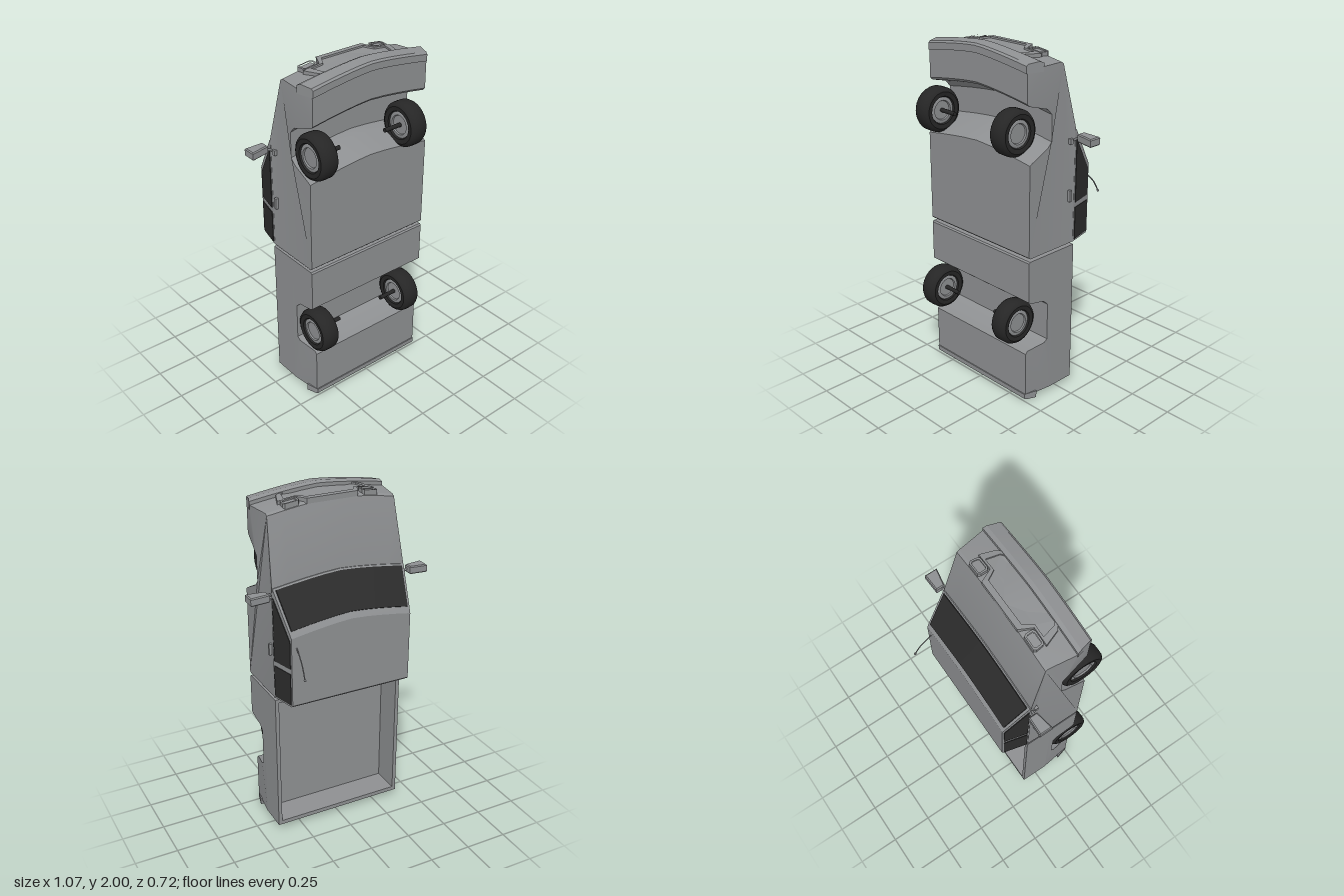
import * as THREE from 'three';
import { toCreasedNormals } from 'three/addons/utils/BufferGeometryUtils.js';

const bodyGrey = new THREE.MeshStandardMaterial({ color: 0x8e9092 });
bodyGrey.name = 'bodyGrey';
const glassBlack = new THREE.MeshStandardMaterial({ color: 0x2c2c2c });
glassBlack.name = 'glassBlack';
const tyreBlack = new THREE.MeshStandardMaterial({ color: 0x262626 });
tyreBlack.name = 'tyreBlack';

// Pickup standing on its tail: nose +y, underside +z, roof -z.
const clamp = THREE.MathUtils.clamp;

// Half width of the body at a point of the side profile
function bodyWidth(z, y) {
  let w = 0.4 - (clamp(-0.095 - z, 0, 0.15) / 0.15) * 0.037;
  if ((y > 1.72 || y < 0.33) && z > 0.2) w = 0.378;
  if (y > 1.85 && z < 0.1) w = 0.378;
  return w;
}

// The cab bows toward the nose along the centre line
function bow(t, y) {
  return 0.045 * clamp((y - 0.9) / 0.4, 0, 1) * (1 - Math.min(1, Math.abs(t)) ** 1.4);
}

// Sweeps a (z, y) side profile across the body from fraction tA to tB of the half width
function loft(profile, tA = -1, tB = 1, steps = 8, width = bodyWidth) {
  const shape = new THREE.Shape(profile.map(([z, y]) => new THREE.Vector2(z, y)));
  const geo = new THREE.ExtrudeGeometry(shape, { depth: 1, steps, bevelEnabled: false });
  const p = geo.attributes.position;
  for (let i = 0; i < p.count; i++) {
    const z = p.getX(i), y = p.getY(i), t = tB + (tA - tB) * p.getZ(i);
    p.setXYZ(i, t * width(z, y), y + bow(t, y), z);
  }
  return toCreasedNormals(geo, 0.45);
}

// Extrudes an (x, z) outline downward from the nose, following its bow
function nosePlate(points, top, depth, hole) {
  const toV = (list) => list.map(([x, z]) => new THREE.Vector2(x, z));
  const shape = new THREE.Shape(toV(points));
  if (hole) shape.holes.push(new THREE.Path(toV(hole)));
  const geo = new THREE.ExtrudeGeometry(shape, { depth, bevelEnabled: false });
  geo.rotateX(Math.PI / 2);
  const p = geo.attributes.position;
  for (let i = 0; i < p.count; i++) p.setY(i, p.getY(i) + top + bow(p.getX(i) / 0.4, 1.9));
  geo.computeVertexNormals();
  return geo;
}

const mirrorX = (half) => [...half, ...half.map(([x, z]) => [-x, z]).reverse()];

export function createModel() {
  const model = new THREE.Group();
  const add = (name, geo, mat = bodyGrey, parent = model) => {
    const mesh = new THREE.Mesh(geo, mat);
    mesh.name = name;
    parent.add(mesh);
    return mesh;
  };
  const box = (name, w, h, d, x, y, z, mat, parent) => {
    const m = add(name, new THREE.BoxGeometry(w, h, d), mat, parent);
    m.position.set(x, y, z);
    return m;
  };

  // Cab: lower body with the wheel arch, hood and nose
  add('cabLowerBody', loft([
    [-0.095, 0.9], [0.242, 0.9], [0.25, 0.908], [0.25, 1.425], [0.235, 1.435], [0.12, 1.49],
    [0.092, 1.52], [0.092, 1.665], [0.125, 1.7], [0.235, 1.73], [0.25, 1.745], [0.25, 1.925],
    [0.16, 1.925], [0.005, 1.92], [-0.01, 1.91], [-0.095, 1.545],
  ]));
  add('cabin', loft([
    [-0.09, 0.9], [-0.235, 0.9], [-0.245, 0.91], [-0.245, 1.31], [-0.235, 1.328],
    [-0.1, 1.545], [-0.09, 1.545],
  ]));

  // Glass
  add('windshield', loft([
    [-0.226, 1.342], [-0.106, 1.535], [-0.111, 1.539], [-0.231, 1.346],
  ], -0.965, 0.965), glassBlack);
  for (const s of [-1, 1]) {
    const range = s > 0 ? [0.99, 1.008] : [-1.008, -0.99];
    add('frontSideWindow', loft([
      [-0.102, 1.13], [-0.102, 1.495], [-0.235, 1.29], [-0.235, 1.13],
    ], ...range, 1), glassBlack);
    add('rearSideWindow', loft([
      [-0.102, 0.912], [-0.102, 1.1], [-0.235, 1.1], [-0.235, 0.912],
    ], ...range, 1), glassBlack);
    box('doorHandle', 0.02, 0.065, 0.016, s * 0.401, 1.18, -0.055);
  }

  // Cargo bed: underside with wheel arch, and an open frame of walls
  add('bedBase', loft([
    [0.07, 0.035], [0.242, 0.035], [0.25, 0.043], [0.25, 0.31], [0.235, 0.325], [0.125, 0.345],
    [0.103, 0.36], [0.103, 0.58], [0.135, 0.61], [0.235, 0.63], [0.25, 0.642], [0.25, 0.874],
    [0.242, 0.882], [0.07, 0.882],
  ]));
  const rect = (x, y0, y1) => [[-x, y0], [x, y0], [x, y1], [-x, y1]].map((q) => new THREE.Vector2(...q));
  const frame = new THREE.Shape(rect(0.4, 0.035, 0.882));
  frame.holes.push(new THREE.Path(rect(0.378, 0.06, 0.86)));
  const walls = add('bedWalls', new THREE.ExtrudeGeometry(frame, { depth: 0.167, bevelEnabled: false }));
  walls.position.z = -0.096;

  // Bumpers and tailgate handle
  const bumperWidth = (z) => 0.403 - Math.max(0, z - 0.155) * 0.26;
  add('frontBumper', loft([
    [0.256, 1.9], [0.256, 1.938], [0.245, 1.948], [0.18, 1.955], [0.158, 1.945], [0.158, 1.9],
  ], -1, 1, 12, bumperWidth));
  add('rearBumper', loft([
    [0.256, 0.05], [0.256, 0.022], [0.245, 0.015], [0.18, 0.008], [0.18, 0.05],
  ], -1, 1, 1, bumperWidth));
  add('tailgateHandle', loft([[-0.015, 0.04], [0.022, 0.04], [0.012, 0.018], [-0.015, 0]],
    -0.06, 0.06, 1, () => 1));

  // Grille: raised surround with a recessed panel
  add('grilleSurround', nosePlate(
    mirrorX([[0.15, -0.015], [0.185, 0.058], [0.287, 0.058], [0.255, 0.145], [0.225, 0.168]]),
    1.94, 0.03,
    mirrorX([[0.138, 0.017], [0.17, 0.07], [0.245, 0.07], [0.226, 0.145], [0.205, 0.16]])));
  add('grillePanel', nosePlate(
    mirrorX([[0.138, 0.017], [0.17, 0.07], [0.245, 0.07], [0.226, 0.145], [0.205, 0.16]]), 1.93, 0.02));

  // Headlights: bezel ring and lens
  const lamp = (s, hx, hz) => [[-1, -0.6], [-0.8, -1], [0.8, -1], [1, -0.6], [0.9, 0.7], [0.7, 1], [-0.7, 1], [-1, 0.7]]
    .map(([a, b]) => [s * (0.234 + a * hx), 0.024 + b * hz]);
  for (const s of [-1, 1]) {
    add('headlightBezel', nosePlate(lamp(s, 0.047, 0.031), 1.94, 0.03, lamp(s, 0.036, 0.022)));
    add('headlightLens', nosePlate(lamp(s, 0.036, 0.022), 1.933, 0.02));
  }

  // Wing mirrors on short stalks
  for (const s of [-1, 1]) {
    const shape = new THREE.Shape([[0.426, -0.128], [0.535, -0.132], [0.535, -0.056], [0.426, -0.076]]
      .map(([x, z]) => new THREE.Vector2(s * x, z)));
    const geo = new THREE.ExtrudeGeometry(shape, {
      depth: 0.034, bevelThickness: 0.006, bevelSize: 0.006, bevelOffset: -0.006, bevelSegments: 1,
    });
    geo.rotateX(Math.PI / 2);
    const p = geo.attributes.position;
    for (let i = 0; i < p.count; i++) p.setY(i, p.getY(i) + 1.525 - (Math.abs(p.getX(i)) - 0.426) * 0.03);
    geo.computeVertexNormals();
    add('wingMirror', geo);
    const stalk = new THREE.LineCurve3(new THREE.Vector3(s * 0.385, 1.485, -0.085), new THREE.Vector3(s * 0.435, 1.51, -0.09));
    add('mirrorStalk', new THREE.TubeGeometry(stalk, 1, 0.007, 6));
    box('mirrorMount', 0.02, 0.03, 0.02, s * 0.395, 1.487, -0.06);
  }

  // Antenna
  const whip = new THREE.CatmullRomCurve3([
    [0.333, 1.255, -0.24], [0.334, 1.23, -0.27], [0.338, 1.18, -0.32], [0.342, 1.115, -0.357],
  ].map((q) => new THREE.Vector3(...q)));
  add('antenna', new THREE.TubeGeometry(whip, 12, 0.0035, 6));
  add('antennaTip', new THREE.SphereGeometry(0.007, 10, 8)).position.set(0.342, 1.115, -0.357);

  // Wheels: lathed tyre, rim on both faces, stub axle toward the middle
  const lathe = (pts, n) => toCreasedNormals(
    new THREE.LatheGeometry(pts.map((q) => new THREE.Vector2(...q)), n).rotateZ(-Math.PI / 2), 0.6);
  const tyre = lathe([
    [0.074, -0.04], [0.08, -0.05], [0.105, -0.053], [0.118, -0.046], [0.127, -0.03], [0.128, 0],
    [0.127, 0.03], [0.118, 0.046], [0.105, 0.053], [0.08, 0.05], [0.074, 0.04],
  ], 32);
  const rim = lathe([
    [0, -0.036], [0.052, -0.036], [0.056, -0.044], [0.066, -0.044], [0.078, -0.04],
    [0.078, 0.04], [0.066, 0.044], [0.056, 0.044], [0.052, 0.036], [0, 0.036],
  ], 32);
  const axle = new THREE.CylinderGeometry(0.012, 0.012, 0.12, 12).rotateZ(Math.PI / 2);
  for (const y of [0.472, 1.57]) {
    for (const [x, inward] of [[-0.344, 1], [0.258, -1]]) {
      const wheel = new THREE.Group();
      wheel.name = y > 1 ? 'frontWheel' : 'rearWheel';
      wheel.position.set(x, y, 0.233);
      add('tyre', tyre, tyreBlack, wheel);
      add('rim', rim, bodyGrey, wheel);
      add('axle', axle, tyreBlack, wheel).position.x = inward * 0.087;
      model.add(wheel);
    }
  }
  return model;
}
